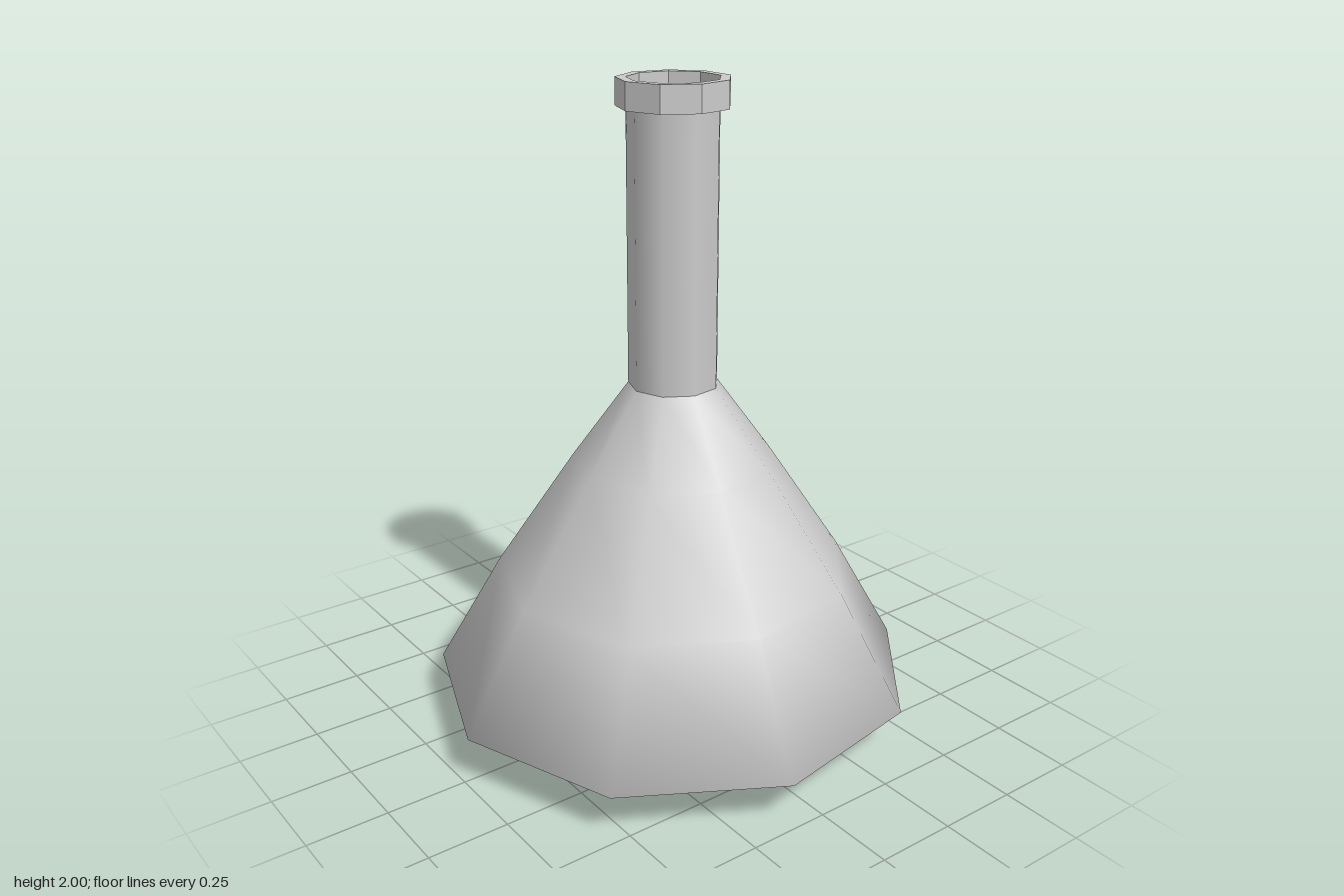
import * as THREE from 'three';

const SIDES = 9;

// Nine-sided turned part with one corner pointing to -x
function turned(name, profile, options = {}) {
  const points = profile.map(([r, y]) => new THREE.Vector2(r, y));
  const geometry = new THREE.LatheGeometry(points, SIDES, -Math.PI / 2);
  const material = new THREE.MeshStandardMaterial({ color: 0xcccccc, ...options });
  const mesh = new THREE.Mesh(geometry, material);
  mesh.name = name;
  return mesh;
}

export function createModel() {
  const flask = new THREE.Group();
  flask.name = 'flask';

  // Closed base, bevelled foot and slightly bulging cone
  flask.add(turned('body', [
    [0, 0], [0.485, 0], [0.755, 0.14], [0.55, 0.5], [0.31, 0.86], [0.137, 1.1],
  ], { side: THREE.DoubleSide }));

  // Thin open neck
  flask.add(turned('neck', [[0.137, 1.1], [0.137, 1.95]], { side: THREE.DoubleSide }));

  // Collar around the mouth
  flask.add(turned('collar', [
    [0.137, 1.92], [0.167, 1.92], [0.167, 2], [0.137, 2], [0.137, 1.92],
  ], { flatShading: true }));

  // Liquid resting inside the body
  flask.add(turned('liquid', [
    [0, 0.02], [0.47, 0.02], [0.73, 0.145], [0.53, 0.5], [0, 0.5],
  ], { color: 0xffb300, flatShading: true }));

  // Centre the odd-sided outline on x = 0
  flask.children.forEach((part) => { part.position.x = 0.023; });
  return flask;
}
